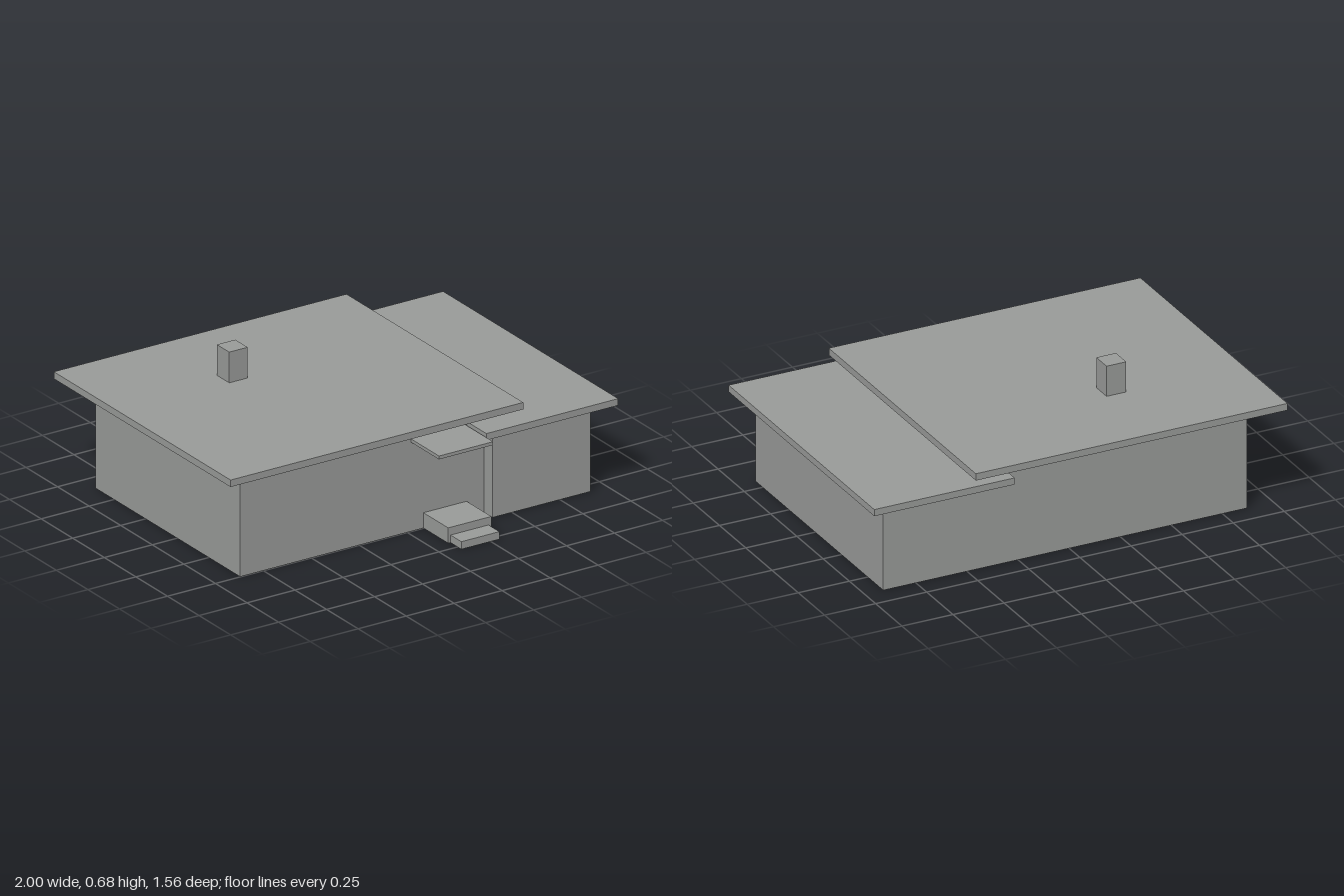
import * as THREE from 'three';

export function createModel() {
  const model = new THREE.Group();
  model.name = 'house';
  const grey = new THREE.MeshStandardMaterial({ color: 0x999b99, side: THREE.DoubleSide });
  grey.name = 'plainGrey';

  // Solid block given by its extents
  const block = (name, [x0, x1], [y0, y1], [z0, z1]) => {
    const mesh = new THREE.Mesh(new THREE.BoxGeometry(x1 - x0, y1 - y0, z1 - z0), grey);
    mesh.position.set((x0 + x1) / 2, (y0 + y1) / 2, (z0 + z1) / 2);
    mesh.name = name;
    model.add(mesh);
  };

  // Thin upright wall from floor point a to b, with an optional notch [start, end, height] in its foot
  const wall = (name, [ax, az], [bx, bz], y0, y1, notch) => {
    const length = Math.hypot(bx - ax, bz - az);
    const outline = [[0, y0]];
    if (notch) {
      const [s, e, h] = notch;
      outline.push([s, y0], [s, h], [e, h], [e, y0]);
    }
    outline.push([length, y0], [length, y1], [0, y1]);
    const shape = new THREE.Shape(outline.map(([x, y]) => new THREE.Vector2(x, y)));
    const mesh = new THREE.Mesh(new THREE.ShapeGeometry(shape), grey);
    mesh.position.set(ax, 0, az);
    mesh.rotation.y = Math.atan2(az - bz, bx - ax);
    mesh.name = name;
    model.add(mesh);
  };

  // Step: tread, riser and two sides, open below and towards the house
  const step = (name, x0, x1, z0, z1, h, notch) => {
    const tread = new THREE.Mesh(new THREE.PlaneGeometry(x1 - x0, z1 - z0), grey);
    tread.rotation.x = -Math.PI / 2;
    tread.position.set((x0 + x1) / 2, h, (z0 + z1) / 2);
    tread.name = name + 'Tread';
    model.add(tread);
    wall(name + 'RightSide', [x0, z0], [x0, z1], 0, h);
    wall(name + 'Riser', [x0, z1], [x1, z1], 0, h, notch);
    wall(name + 'LeftSide', [x1, z1], [x1, z0], 0, h);
  };

  const right = -0.87, joint = 0.4, left = 0.91;
  const back = -0.647, mainFront = 0.498, wingFront = 0.568;
  const mainTop = 0.503, wingTop = 0.418;

  // Walls: one hollow shell with a taller main part and a lower wing
  wall('mainFrontWall', [right, mainFront], [joint, mainFront], 0, mainTop, [0.085 - right, 0.31 - right, 0.073]);
  wall('jogWall', [joint, mainFront], [joint, wingFront], 0, wingTop);
  wall('wingFrontWall', [joint, wingFront], [left, wingFront], 0, wingTop);
  wall('wingEndWall', [left, wingFront], [left, back], 0, wingTop);
  wall('wingBackWall', [left, back], [joint, back], 0, wingTop);
  wall('mainBackWall', [joint, back], [right, back], 0, mainTop);
  wall('mainEndWall', [right, back], [right, mainFront], 0, mainTop);
  wall('upperJointWall', [joint, mainFront], [joint, back], wingTop, mainTop);

  // Flat roofs, porch canopy and chimney
  block('mainRoof', [-1, 0.525], [mainTop, 0.536], [-0.78, 0.62]);
  block('wingRoof', [0.313, 1], [wingTop, 0.45], [-0.737, 0.65]);
  block('porchCanopy', [0.02, 0.302], [0.424, 0.44], [mainFront, 0.72]);
  block('chimney', [-0.428, -0.332], [0.536, 0.682], [-0.358, -0.26]);

  // Entrance steps
  step('upperStep', 0.085, 0.31, mainFront, 0.694, 0.073, [0.012, 0.21, 0.036]);
  step('lowerStep', 0.097, 0.295, 0.694, 0.78, 0.036);

  return model;
}
